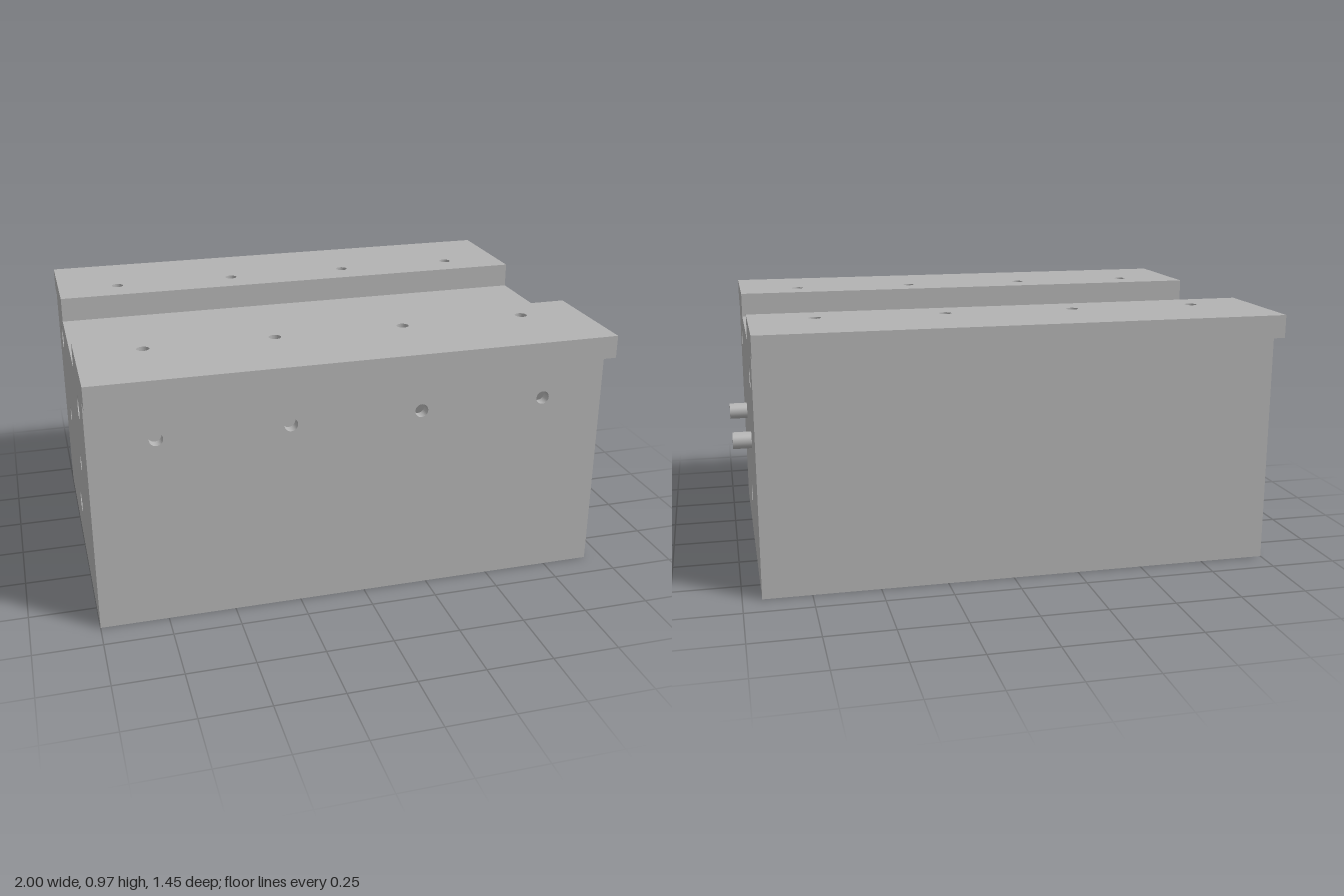
import * as THREE from 'three';

const X0 = -1, X1 = 0.93, T = 0.04;      // block ends and wall thickness
const HALF = 0.64, CEIL = 0.77;          // body half depth and ceiling height
const BORE_Z = 0.4, BORE_R = 0.045;      // long bores, centred on the ceiling line
const SCREW_X = [-0.76, -0.28, 0.21, 0.69];

export function createModel() {
  const group = new THREE.Group();
  const grey = new THREE.MeshStandardMaterial({ color: 0xb3b3b3 });
  grey.name = 'grey';

  const add = (name, geometry) => {
    const mesh = new THREE.Mesh(geometry, grey);
    mesh.name = name;
    group.add(mesh);
    return mesh;
  };
  const extrude = (shape, depth) =>
    new THREE.ExtrudeGeometry(shape, { depth, bevelEnabled: false, curveSegments: 24 });
  // profile in the depth/height plane, swept along x
  const alongX = (shape, x, depth) => extrude(shape, depth).rotateY(Math.PI / 2).translate(x, 0, 0);
  const rect = (a, b, c, d, Type = THREE.Shape) =>
    new Type([[a, b], [c, b], [c, d], [a, d]].map(p => new THREE.Vector2(...p)));
  const punch = (shape, x, y, r) => shape.holes.push(new THREE.Path().absarc(x, y, r, 0, Math.PI * 2, true));

  // cross wall with the upper bores cut as half circles in its top edge
  const wallShape = half => {
    const s = new THREE.Shape();
    s.moveTo(-half, 0);
    s.lineTo(half, 0);
    s.lineTo(half, CEIL);
    for (const c of [BORE_Z, -BORE_Z]) {
      s.lineTo(c + BORE_R, CEIL);
      s.absarc(c, CEIL, BORE_R, 0, -Math.PI, true);
    }
    s.lineTo(-half, CEIL);
    punch(s, 0, 0.205, BORE_R);
    return s;
  };

  // end walls: sockets on one end, pins on the other
  const socketEnd = wallShape(HALF);
  for (const z of [-0.24, 0.24]) punch(socketEnd, z, 0.485, 0.032);
  add('socketEndWall', alongX(socketEnd, X0, T));
  add('pinEndWall', alongX(wallShape(HALF), X1 - T, T));
  for (const z of [-0.24, 0.24]) {
    add('pin', new THREE.CylinderGeometry(0.032, 0.032, 0.09, 32).rotateZ(Math.PI / 2))
      .position.set(0.955, 0.485, z);
  }

  // two dividers with a rectangular window each
  for (const x of [-0.37, 0.26]) {
    const divider = wallShape(HALF - T);
    divider.holes.push(rect(-0.31, 0.265, 0.31, 0.705, THREE.Path));
    add('divider', alongX(divider, x, T));
  }

  // long side walls, the front one drilled
  const front = rect(X0 + T, 0, X1 - T, CEIL);
  for (const x of SCREW_X) punch(front, x, 0.72, 0.025);
  add('frontWall', extrude(front, T).translate(0, 0, HALF - T));
  add('backWall', extrude(rect(X0 + T, 0, X1 - T, CEIL), T).translate(0, 0, -HALF));

  // solid top slab with the bores in its underside and the channel floor above
  const slab = new THREE.Shape();
  slab.moveTo(-HALF, CEIL);
  for (const c of [-BORE_Z, BORE_Z]) {
    slab.lineTo(c - BORE_R, CEIL);
    slab.absarc(c, CEIL, BORE_R, Math.PI, 0, true);
  }
  for (const p of [[HALF, CEIL], [HALF, 0.885], [0.275, 0.885], [0.275, 0.875],
    [-0.275, 0.875], [-0.275, 0.885], [-HALF, 0.885]]) slab.lineTo(...p);
  add('topSlab', alongX(slab, X0, X1 - X0));

  // overhanging top rails with blind screw holes
  for (const side of [-1, 1]) {
    const rail = rect(X0, side < 0 ? -0.725 : 0.275, X1, side < 0 ? -0.275 : 0.725);
    for (const x of SCREW_X) punch(rail, x, side * 0.405, 0.023);
    add('topRail', extrude(rail, 0.085).rotateX(-Math.PI / 2).translate(0, 0.885, 0));
  }
  return group;
}
